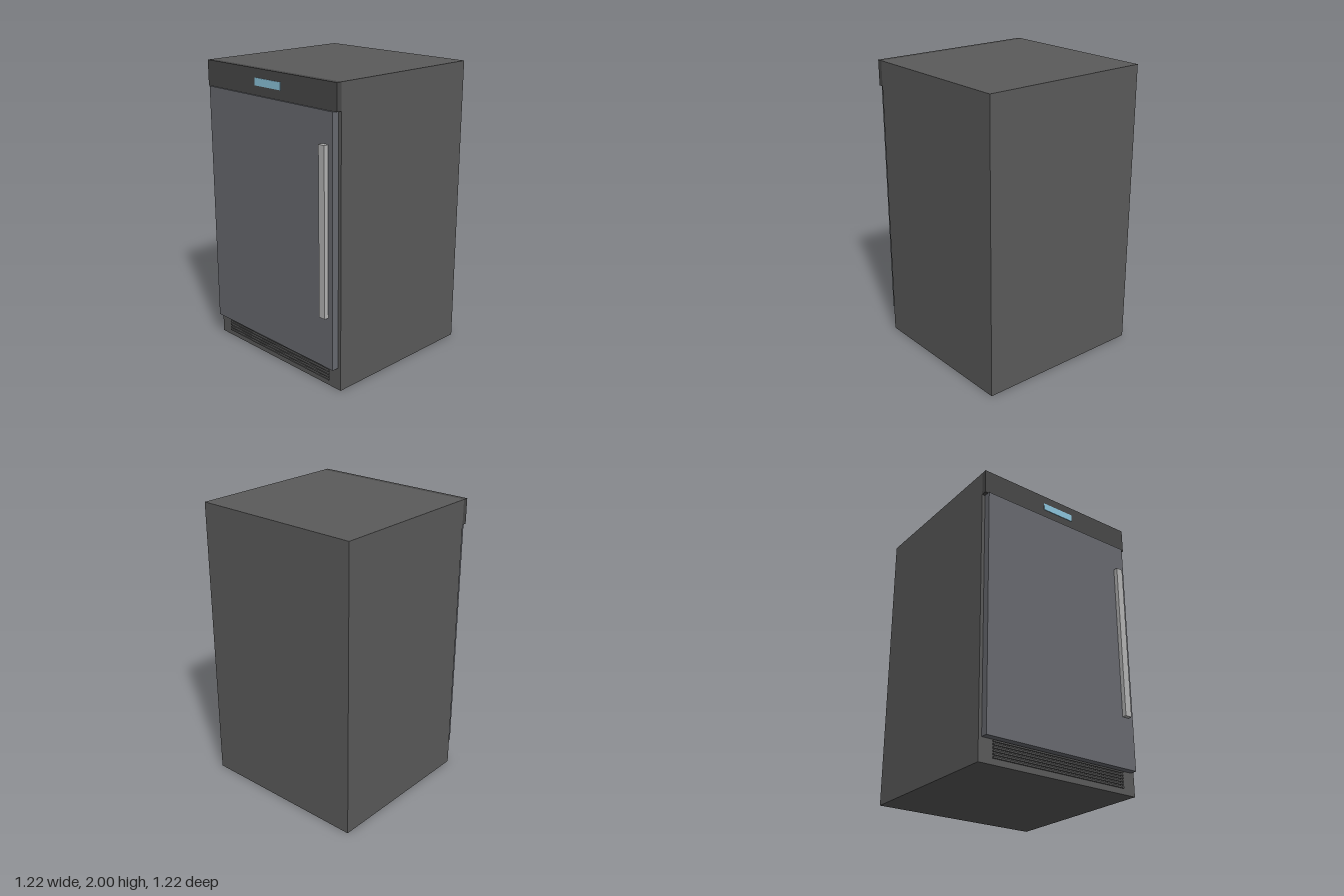
import * as THREE from 'three';

export function createModel() {
  const model = new THREE.Group();
  model.name = 'compactFridge';

  const paint = (color) => new THREE.MeshStandardMaterial({ color });
  const bodyGrey = paint(0x5a5a5a);
  const panelGrey = paint(0x484848);
  const doorGrey = paint(0x686a70);
  const metal = paint(0xb4b4b4);
  const blue = paint(0x8cc4dc);

  // Box given by its lower and upper corner on each axis
  function block(name, material, [x0, x1], [y0, y1], [z0, z1], parent = model) {
    const geometry = new THREE.BoxGeometry(x1 - x0, y1 - y0, z1 - z0);
    const mesh = new THREE.Mesh(geometry, material);
    mesh.position.set((x0 + x1) / 2, (y0 + y1) / 2, (z0 + z1) / 2);
    mesh.name = name;
    parent.add(mesh);
    return mesh;
  }

  // Cabinet and front fittings
  block('cabinet', bodyGrey, [-0.61, 0.61], [0, 2], [-0.612, 0.533]);
  block('controlPanel', panelGrey, [-0.61, 0.61], [1.828, 2], [0.533, 0.57]);
  block('display', blue, [-0.122, 0.122], [1.89, 1.94], [0.565, 0.574]);
  block('door', doorGrey, [-0.587, 0.587], [0.155, 1.828], [0.533, 0.581]);
  block('handle', metal, [0.497, 0.547], [0.51, 1.627], [0.581, 0.612]);

  // Ventilation slats below the door
  const grille = new THREE.Group();
  grille.name = 'ventGrille';
  model.add(grille);
  for (let i = 0; i < 6; i++) {
    const y = 0.04 + i * 0.02;
    block('ventSlat', bodyGrey, [-0.51, 0.51], [y, y + 0.01], [0.533, 0.544], grille);
  }

  return model;
}
